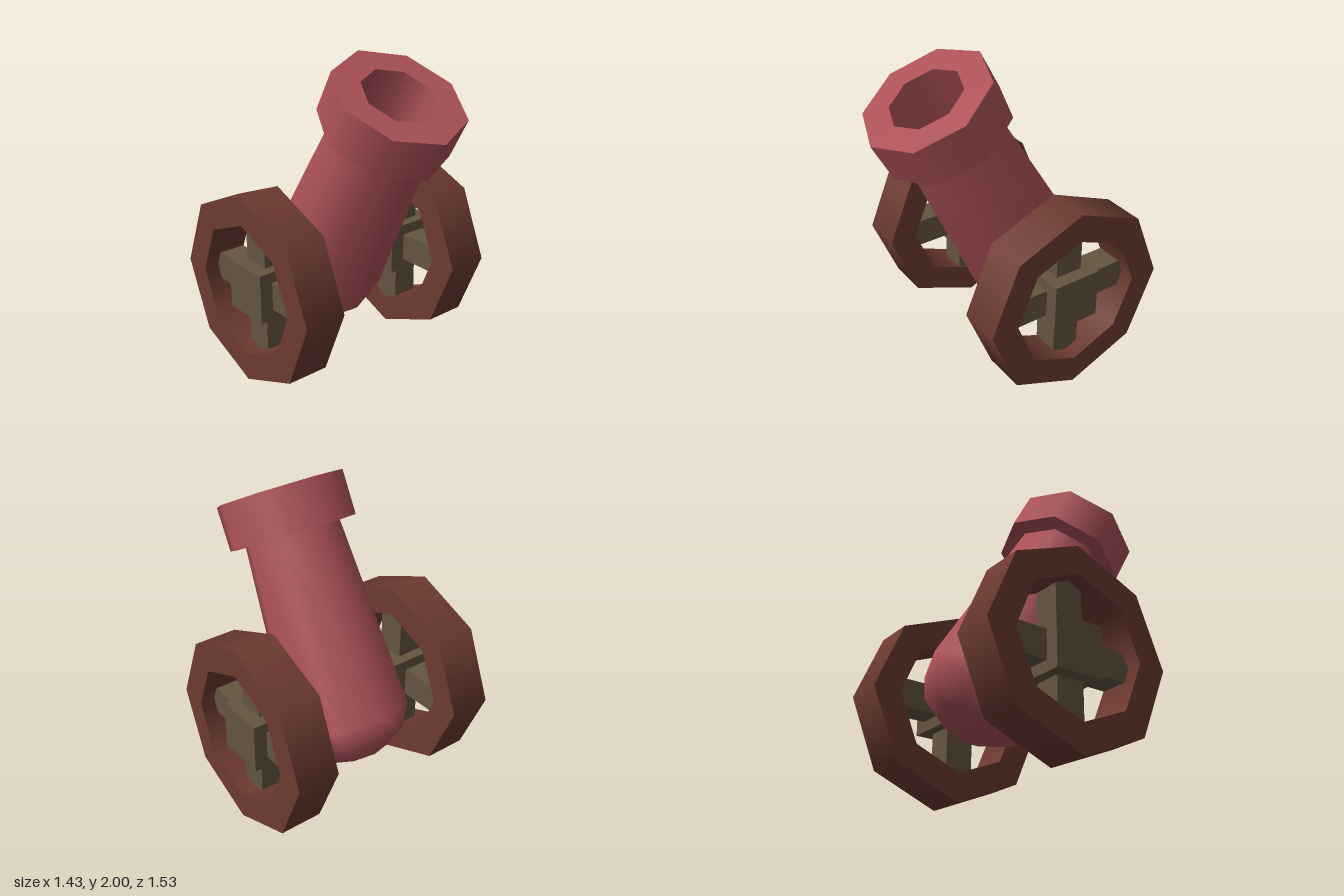
import * as THREE from 'three';
import { mergeGeometries } from 'three/addons/utils/BufferGeometryUtils.js';

const SIDES = 8;

function material(name, color) {
  const m = new THREE.MeshStandardMaterial({ color });
  m.name = name;
  return m;
}

// Lathe that is smooth around the axis
function lathe(points) {
  return new THREE.LatheGeometry(points.map(([r, y]) => new THREE.Vector2(r, y)), SIDES);
}

// Lathe with a sharp edge at every profile point
function sharpLathe(points) {
  return mergeGeometries(points.slice(1).map((p, i) => lathe([points[i], p])));
}

function addMesh(parent, name, geometry, mat) {
  const mesh = new THREE.Mesh(geometry, mat);
  mesh.name = name;
  parent.add(mesh);
  return mesh;
}

export function createModel() {
  const red = material('barrel red', 0xac5158);
  const brown = material('rim brown', 0x6c3a31);
  const wood = material('spoke wood', 0x655441);

  const model = new THREE.Group();
  model.name = 'cannon';

  // Tilted barrel, origin at the centre of the muzzle face
  const barrel = new THREE.Group();
  barrel.name = 'barrel';
  barrel.position.set(0, 1.805, 0.4075);
  barrel.rotation.x = 0.499;
  model.add(barrel);

  addMesh(barrel, 'barrelBody', lathe([
    [0, -1.715], [0.18, -1.70], [0.31, -1.611], [0.387, -1.463], [0.305, -0.27],
  ]), red);

  // Muzzle collar with its bore
  addMesh(barrel, 'muzzle', sharpLathe([
    [0.28, -0.277], [0.407, -0.277], [0.407, 0], [0.235, 0], [0.235, -0.38], [0, -0.38],
  ]), red);

  // Wheels
  const rimIn = 0.445, rimOut = 0.715, rimRadius = 0.61, holeRadius = 0.43;
  for (const side of [1, -1]) {
    const wheel = new THREE.Group();
    wheel.name = side > 0 ? 'leftWheel' : 'rightWheel';
    wheel.position.set(0, rimRadius, -0.16);
    wheel.rotation.y = side > 0 ? 0 : Math.PI;
    model.add(wheel);

    const rim = addMesh(wheel, 'rim', sharpLathe([
      [holeRadius, rimIn], [rimRadius, rimIn], [rimRadius, rimOut],
      [holeRadius, rimOut], [holeRadius, rimIn],
    ]), brown);
    rim.rotation.z = -Math.PI / 2;

    // Hub reaches in to the barrel
    addMesh(wheel, 'hub', new THREE.BoxGeometry(0.36, 0.315, 0.315), wood).position.x = 0.525;

    // Crossed spokes
    addMesh(wheel, 'verticalSpoke', new THREE.BoxGeometry(0.17, 0.86, 0.18), wood).position.x = 0.535;
    addMesh(wheel, 'horizontalSpoke', new THREE.BoxGeometry(0.17, 0.18, 0.86), wood).position.x = 0.535;
  }

  return model;
}
